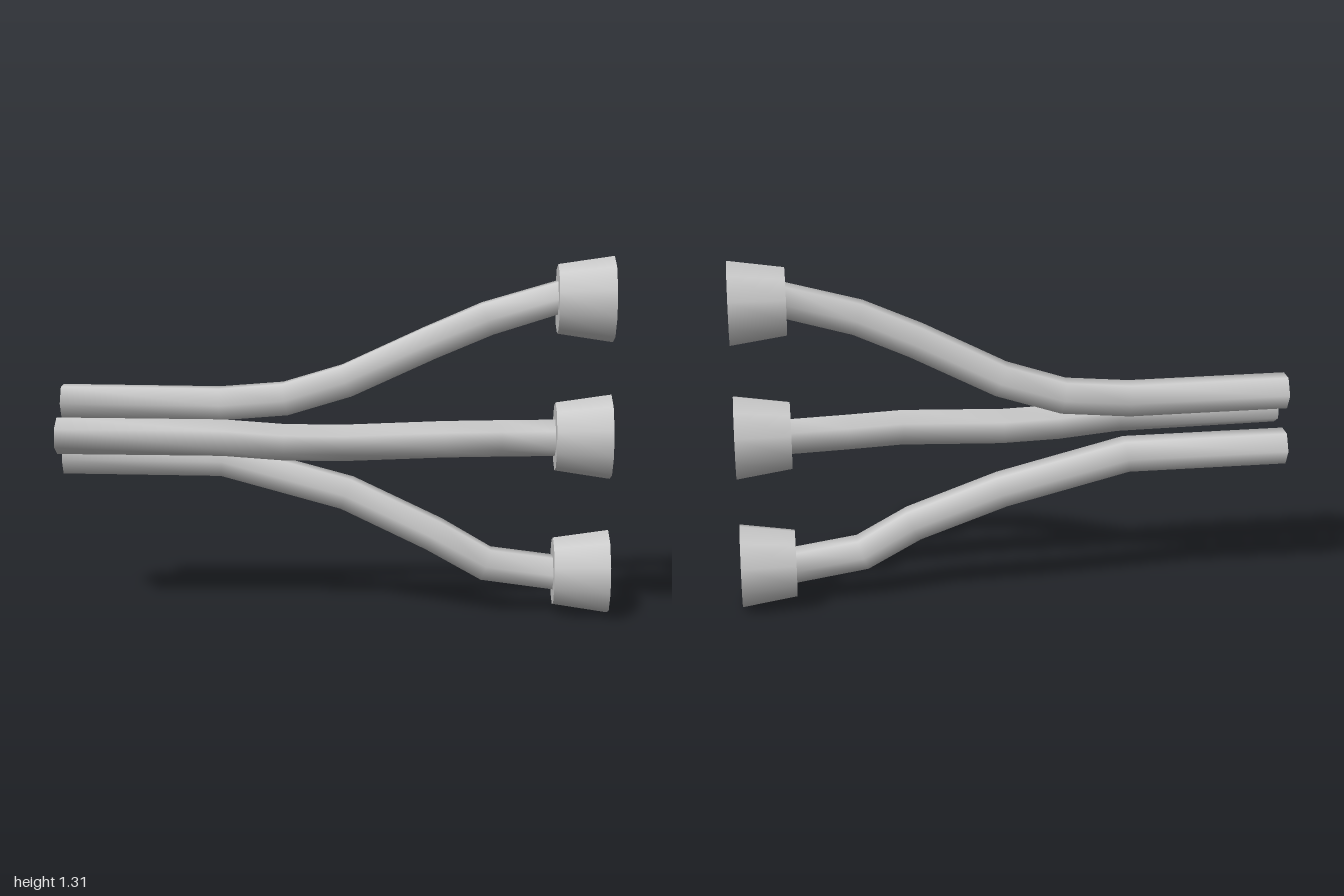
import * as THREE from 'three';

const SIDES = 6;
const material = new THREE.MeshStandardMaterial({ color: 0xcccccc, side: THREE.DoubleSide });

// Open six-sided pipe with one mitred ring at each bend
function pipeGeometry(points, radius, turn) {
  const path = points.map(p => new THREE.Vector3(...p));
  const positions = [], index = [];
  path.forEach((p, i) => {
    const before = p.clone().sub(path[Math.max(i - 1, 0)]).normalize();
    const after = path[Math.min(i + 1, path.length - 1)].clone().sub(p).normalize();
    const end = i === 0 || i === path.length - 1;
    const along = end ? new THREE.Vector3(1, 0, 0) : before.add(after).normalize();
    const side = new THREE.Vector3().crossVectors(along, new THREE.Vector3(0, 1, 0)).normalize();
    const up = new THREE.Vector3().crossVectors(side, along);
    for (let s = 0; s < SIDES; s++) {
      const a = turn + s / SIDES * Math.PI * 2;
      const v = p.clone().addScaledVector(side, Math.cos(a) * radius).addScaledVector(up, Math.sin(a) * radius);
      positions.push(v.x, v.y, v.z);
      if (i > 0) {
        const n = (s + 1) % SIDES, r0 = (i - 1) * SIDES, r1 = i * SIDES;
        index.push(r0 + s, r0 + n, r1 + s, r0 + n, r1 + n, r1 + s);
      }
    }
  });
  const g = new THREE.BufferGeometry();
  g.setAttribute('position', new THREE.Float32BufferAttribute(positions, 3));
  // Wind the faces outward
  for (let i = 0; i < index.length; i += 3) [index[i + 1], index[i + 2]] = [index[i + 2], index[i + 1]];
  g.setIndex(index);
  g.computeVertexNormals();
  return g;
}

const branches = [
  {
    name: 'upper', y: 1.16, turn: 0,
    path: [[-1, 0.77, -0.055], [-0.42, 0.765, -0.055], [-0.18, 0.785, -0.052], [0.045, 0.855, -0.04],
      [0.345, 1, 0], [0.55, 1.09, 0.01], [0.8, 1.165, -0.005]],
  },
  {
    name: 'middle', y: 0.66, turn: Math.PI / 6,
    path: [[-1, 0.665, 0.085], [-0.4, 0.66, 0.072], [-0.18, 0.643, 0.062], [0.03, 0.64, 0.052],
      [0.4, 0.655, 0.045], [0.6, 0.655, 0.02], [0.8, 0.655, 0]],
  },
  {
    name: 'lower', y: 0.16, turn: 0,
    path: [[-1, 0.56, -0.07], [-0.41, 0.555, -0.068], [0.045, 0.435, -0.055],
      [0.365, 0.295, 0], [0.555, 0.188, 0.005], [0.8, 0.155, -0.005]],
  },
];

export function createModel() {
  const model = new THREE.Group();
  // Flared ten-sided end piece
  const flare = new THREE.CylinderGeometry(0.155, 0.125, 0.2, 10, 1, false, Math.PI / 2);
  flare.rotateZ(-Math.PI / 2);
  for (const { name, y, turn, path } of branches) {
    const branch = new THREE.Group();
    branch.name = name + 'Branch';
    const pipe = new THREE.Mesh(pipeGeometry(path, 0.067, turn), material);
    pipe.name = name + 'Pipe';
    const end = new THREE.Mesh(flare, material);
    end.name = name + 'FlaredEnd';
    end.position.set(0.9, y, 0);
    branch.add(pipe, end);
    model.add(branch);
  }
  return model;
}
